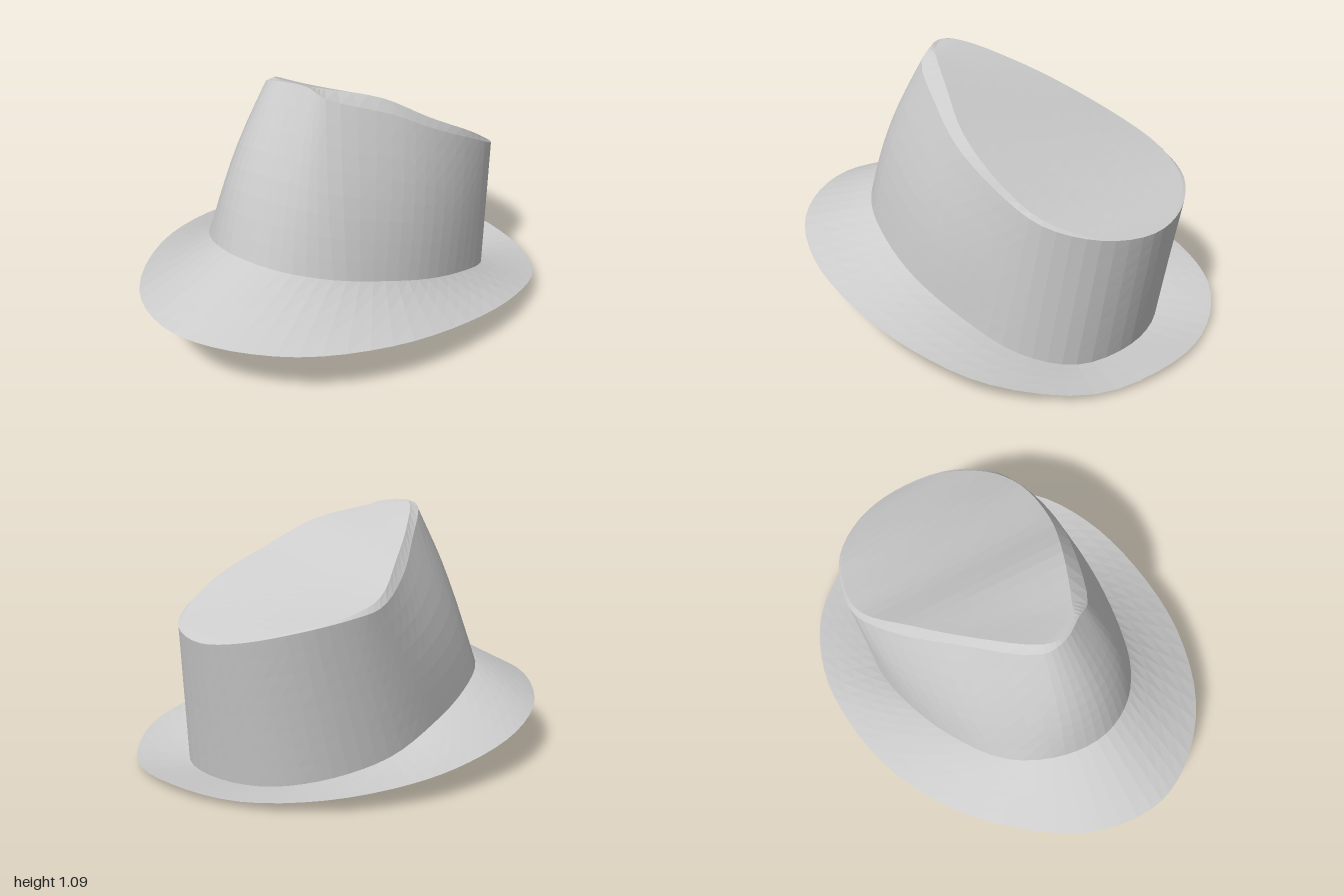
import * as THREE from 'three';

const SEG = 64;

// Guide loops [x, y, z]: front -> left -> back -> right, 16 matching points each
const RIM = [
  [0.1, 0.265, 1], [0.33, 0.26, 0.94], [0.58, 0.24, 0.73], [0.745, 0.21, 0.39],
  [0.8, 0.17, 0], [0.77, 0.13, -0.36], [0.645, 0.08, -0.67], [0.34, 0.025, -0.925],
  [-0.04, 0.03, -1], [-0.36, 0.025, -0.925], [-0.62, 0.05, -0.74], [-0.765, 0.08, -0.46],
  [-0.8, 0.11, -0.17], [-0.755, 0.155, 0.18], [-0.57, 0.205, 0.565], [-0.21, 0.25, 0.91]];
const BASE = [
  [0.1, 0.43, 0.63], [0.28, 0.41, 0.56], [0.42, 0.365, 0.4], [0.5, 0.305, 0.18],
  [0.53, 0.235, -0.05], [0.5, 0.15, -0.32], [0.415, 0.065, -0.575], [0.24, 0.01, -0.735],
  [-0.04, 0.002, -0.78], [-0.28, 0.012, -0.71], [-0.45, 0.05, -0.55], [-0.535, 0.105, -0.33],
  [-0.525, 0.19, -0.07], [-0.45, 0.275, 0.21], [-0.31, 0.35, 0.46], [-0.1, 0.41, 0.6]];
const RIDGE = [
  [0.05, 1.09, 0.335], [0.15, 1.08, 0.285], [0.22, 1.04, 0.25], [0.345, 0.945, 0],
  [0.405, 0.845, -0.2], [0.415, 0.735, -0.45], [0.365, 0.645, -0.65], [0.2, 0.585, -0.8],
  [-0.04, 0.555, -0.86], [-0.25, 0.575, -0.82], [-0.43, 0.62, -0.69], [-0.515, 0.66, -0.51],
  [-0.53, 0.69, -0.38], [-0.44, 0.785, -0.17], [-0.28, 0.925, 0.06], [-0.05, 1.07, 0.33]];
const TOP = [
  [0.05, 1.085, 0.32], [0.13, 1.075, 0.27], [0.17, 1.06, 0.21], [0.285, 1, 0],
  [0.37, 0.888, -0.2], [0.4, 0.765, -0.45], [0.35, 0.66, -0.64], [0.195, 0.59, -0.79],
  [-0.04, 0.56, -0.85], [-0.245, 0.58, -0.81], [-0.42, 0.627, -0.68], [-0.505, 0.675, -0.5],
  [-0.505, 0.725, -0.36], [-0.38, 0.855, -0.14], [-0.22, 0.98, 0.09], [-0.03, 1.08, 0.3]];

// Smooth closed loop through the guide points
function loop(points) {
  const curve = new THREE.CatmullRomCurve3(points.map(p => new THREE.Vector3(...p)), true);
  return Array.from({ length: SEG + 1 }, (_, i) => curve.getPoint((i % SEG) / SEG));
}

// Rows between two loops, with an optional outward bulge that fades to the back
function rowsBetween(a, b, steps, bulge = 0) {
  return Array.from({ length: steps + 1 }, (_, j) => a.map((p, i) => {
    const t = j / steps;
    const v = p.clone().lerp(b[i], t);
    const out = new THREE.Vector3(v.x, 0, v.z + 0.1).normalize();
    const fade = THREE.MathUtils.clamp(p.z + 0.4 + p.x * 0.3, 0, 1);
    return v.addScaledVector(out, bulge * fade * Math.sin(Math.PI * t));
  }));
}

// Skin a grid of rows
function skin(name, rows) {
  const cols = rows[0].length;
  const index = [];
  for (let j = 0; j < rows.length - 1; j++) {
    for (let i = 0; i < cols - 1; i++) {
      const a = j * cols + i, b = a + 1, c = a + cols, d = c + 1;
      index.push(a, b, d, a, d, c);
    }
  }
  const geometry = new THREE.BufferGeometry().setFromPoints(rows.flat());
  geometry.setIndex(index);
  geometry.computeVertexNormals();
  const material = new THREE.MeshStandardMaterial({
    color: 0xcccccc, flatShading: true, side: THREE.DoubleSide });
  const mesh = new THREE.Mesh(geometry, material);
  mesh.name = name;
  return mesh;
}

export function createModel() {
  const hat = new THREE.Group();
  hat.name = 'hat';
  const [rim, base, ridge, top] = [RIM, BASE, RIDGE, TOP].map(loop);

  // Open brim, crown wall and the narrow bevel around the crown top
  hat.add(skin('brim', rowsBetween(rim, base, 4)));
  hat.add(skin('crownWall', rowsBetween(base, ridge, 8, 0.035)));
  hat.add(skin('crownBevel', rowsBetween(ridge, top, 1)));

  // Sloping crown top, ruled from the right edge to the left edge
  const topRows = [];
  for (let j = 0; j <= SEG / 2; j++) {
    topRows.push(Array.from({ length: 9 }, (_, i) => top[SEG - j].clone().lerp(top[j], i / 8)));
  }
  hat.add(skin('crownTop', topRows));
  return hat;
}
